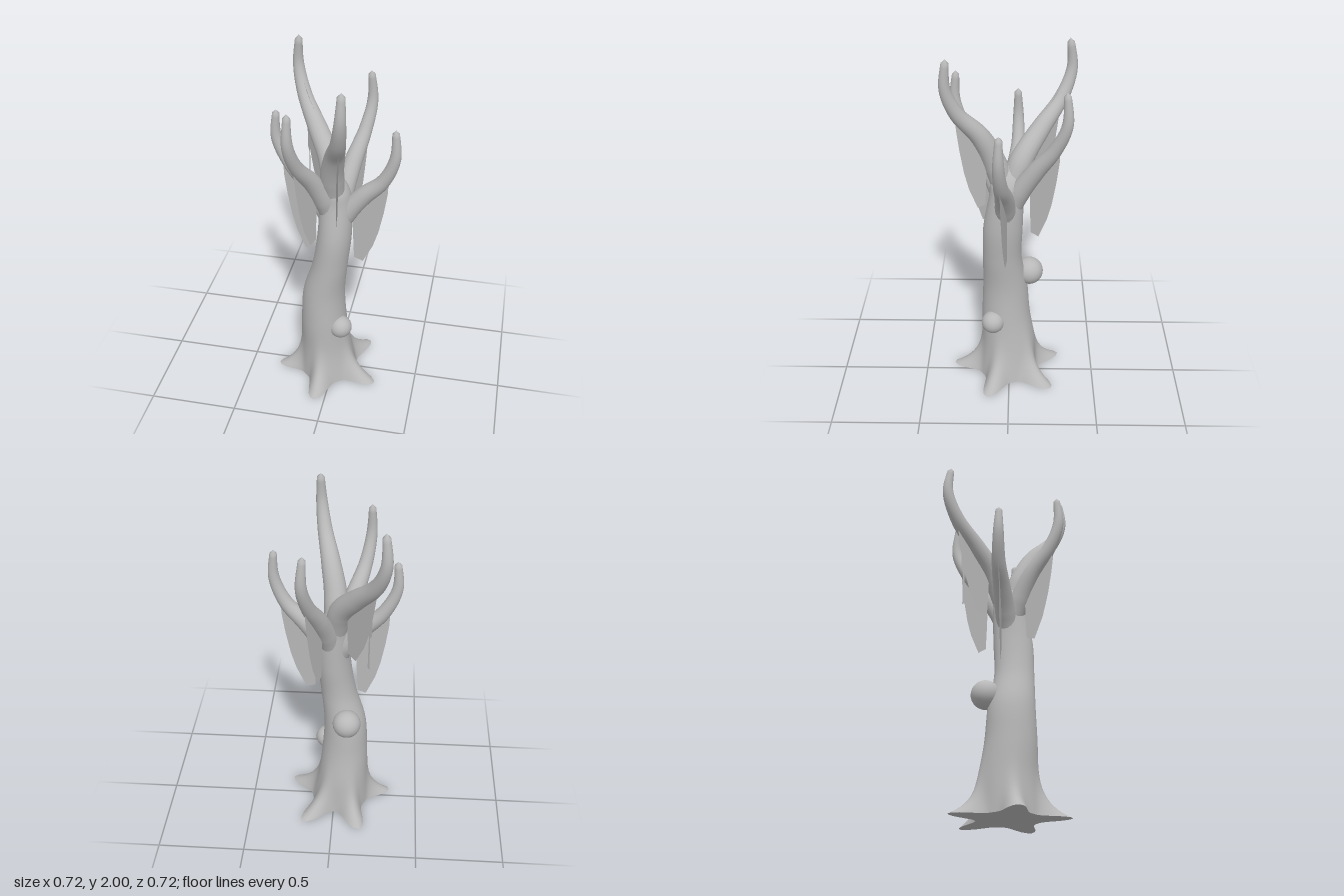
import * as THREE from 'three';
import { mergeVertices } from 'three/addons/utils/BufferGeometryUtils.js';

const grey = new THREE.MeshStandardMaterial({ color: 0xb8b8b8, side: THREE.DoubleSide });
grey.name = 'bark grey';

const V = (x, y, z) => new THREE.Vector3(x, y, z);

function part(group, name, geometry) {
  const mesh = new THREE.Mesh(geometry, grey);
  mesh.name = name;
  group.add(mesh);
  return mesh;
}

// Drop seams so that normals are smooth all round
function smooth(geometry) {
  geometry.deleteAttribute('uv');
  geometry.deleteAttribute('normal');
  const merged = mergeVertices(geometry, 1e-5);
  merged.computeVertexNormals();
  return merged;
}

function meshFrom(positions, index) {
  const g = new THREE.BufferGeometry();
  g.setAttribute('position', new THREE.Float32BufferAttribute(positions, 3));
  g.setIndex(index);
  g.computeVertexNormals();
  return g;
}

// Trunk sections: y, centre x, centre z, radius x, radius z
const sections = [
  [0, -0.035, 0.01, 0.17, 0.17], [0.2, -0.05, 0.005, 0.145, 0.155],
  [0.4, -0.06, 0.02, 0.132, 0.14], [0.6, -0.058, 0.025, 0.12, 0.128],
  [0.8, -0.02, 0.04, 0.1, 0.11], [1.0, 0.005, 0.035, 0.095, 0.11],
  [1.2, 0.008, 0.015, 0.088, 0.095], [1.3, 0, 0.01, 0.068, 0.085],
  [1.39, -0.01, 0.005, 0.002, 0.002],
];

// Root tips, as x and z offsets from the trunk centre
const roots = [[-0.3, 0.05], [0.3, 0.12], [-0.03, 0.325], [0.215, -0.26], [-0.13, -0.305]];

function rootFlare(angle, y) {
  let extra = 0;
  for (const [x, z] of roots) {
    const d = angle - Math.atan2(z, x);
    const turn = Math.atan2(Math.sin(d), Math.cos(d));
    extra += (Math.hypot(x, z) - 0.17) * Math.exp(-((turn / 0.26) ** 2));
  }
  return extra * Math.exp(-y / 0.075);
}

function buildTrunk(group) {
  const centre = new THREE.CatmullRomCurve3(sections.map(([y, x, z]) => V(x, y, z)), false, 'catmullrom', 0.5);
  const radius = new THREE.CatmullRomCurve3(sections.map((s) => V(s[3], s[0], s[4])), false, 'catmullrom', 0.5);
  const rows = 80, sides = 80, pos = [], index = [];
  for (let i = 0; i <= rows; i++) {
    const c = centre.getPoint(i / rows), r = radius.getPoint(i / rows);
    for (let j = 0; j < sides; j++) {
      const a = (j / sides) * Math.PI * 2, f = rootFlare(a, c.y);
      pos.push(c.x + Math.cos(a) * (r.x + f), c.y, c.z + Math.sin(a) * (r.z + f));
      if (i < rows) {
        const k = (j + 1) % sides, p = i * sides, q = p + sides;
        index.push(p + j, q + j, p + k, p + k, q + j, q + k);
      }
    }
  }
  part(group, 'trunk', meshFrom(pos, index));

  // Flat underside
  const cap = [...pos.slice(0, sides * 3), sections[0][1], 0, sections[0][2]], fan = [];
  for (let j = 0; j < sides; j++) fan.push(sides, j, (j + 1) % sides);
  part(group, 'trunkUnderside', meshFrom(cap, fan));
}

// Tapered tube through points, with radii spread evenly along it
function taperedTube(points, radii) {
  const curve = new THREE.CatmullRomCurve3(points), steps = 40, sides = 16;
  const g = new THREE.TubeGeometry(curve, steps, 1, sides, false);
  const p = g.attributes.position, v = V(0, 0, 0);
  for (let i = 0; i <= steps; i++) {
    const c = curve.getPointAt(i / steps);
    const t = (i / steps) * (radii.length - 1), k = Math.min(Math.floor(t), radii.length - 2);
    const r = i === steps ? 0.0005 : THREE.MathUtils.lerp(radii[k], radii[k + 1], t - k);
    for (let j = 0; j <= sides; j++) {
      const n = i * (sides + 1) + j;
      v.fromBufferAttribute(p, n).sub(c).multiplyScalar(r).add(c);
      p.setXYZ(n, v.x, v.y, v.z);
    }
  }
  return smooth(g);
}

// Vertical sheet standing on the line from inner to outer (x, z)
function sheet(outline, inner, outer, lift) {
  const g = new THREE.ShapeGeometry(new THREE.Shape(outline.map(([u, y]) => new THREE.Vector2(u, y))));
  const p = g.attributes.position;
  for (let i = 0; i < p.count; i++) {
    const u = p.getX(i);
    p.setXYZ(i, THREE.MathUtils.lerp(inner[0], outer[0], u), p.getY(i) + lift,
      THREE.MathUtils.lerp(inner[1], outer[1], u));
  }
  g.computeVertexNormals();
  return g;
}

const mossOutline = [[0, 1.19], [0.35, 1.29], [0.7, 1.36], [1, 1.44], [0.97, 1.3], [0.88, 1.18],
  [0.75, 1.05], [0.6, 0.95], [0.32, 0.83], [0.06, 0.845], [0.02, 1.0]];
const strandOutline = [[0.72, 1.36], [0.92, 1.4], [0.9, 1.22], [0.86, 1.2], [0.85, 1.06],
  [0.8, 1.04], [0.8, 0.84], [0.74, 0.85], [0.76, 1.05], [0.71, 1.12]];

// Branch paths from trunk to tip, and the ground line of the moss under each
const branches = [
  { name: 'backRightBranch', path: [[0, 1.2, 0], [-0.04, 1.4, -0.07], [-0.13, 1.54, -0.17], [-0.225, 1.68, -0.28], [-0.27, 1.83, -0.335], [-0.262, 2, -0.322]],
    moss: [[-0.07, -0.1], [-0.23, -0.28]], strand: true },
  { name: 'frontLeftBranch', path: [[0, 1.2, 0.02], [0, 1.4, 0.08], [0.03, 1.56, 0.155], [0.07, 1.7, 0.27], [0.09, 1.84, 0.325], [0.095, 2, 0.318]],
    moss: [[0.03, 0.12], [0.075, 0.28]] },
  { name: 'frontRightBranch', path: [[-0.01, 1.08, 0.02], [-0.05, 1.24, 0.07], [-0.1, 1.38, 0.135], [-0.155, 1.52, 0.235], [-0.182, 1.67, 0.293], [-0.182, 1.845, 0.287]],
    moss: [[-0.08, 0.1], [-0.165, 0.26]] },
  { name: 'backLeftBranch', path: [[0.01, 1.08, 0], [0.04, 1.24, -0.06], [0.075, 1.38, -0.145], [0.12, 1.52, -0.24], [0.147, 1.67, -0.3], [0.138, 1.845, -0.295]],
    moss: [[0.06, -0.11], [0.135, -0.27]] },
  { name: 'leftBranch', path: [[0.01, 1.0, 0.02], [0.07, 1.14, 0.02], [0.16, 1.26, 0.025], [0.265, 1.37, 0.04], [0.327, 1.52, 0.05], [0.325, 1.685, 0.048]],
    moss: [[0.1, 0.01], [0.3, 0.045]] },
  { name: 'rightBranch', path: [[0, 1.0, 0.02], [-0.06, 1.14, -0.005], [-0.15, 1.26, -0.025], [-0.26, 1.38, -0.045], [-0.33, 1.53, -0.047], [-0.327, 1.692, -0.044]],
    moss: [[-0.12, -0.03], [-0.3, -0.045]] },
];

export function createModel() {
  const tree = new THREE.Group();
  tree.name = 'deadTree';
  buildTrunk(tree);

  // Branches with hanging moss
  for (const { name, path, moss, strand } of branches) {
    const tall = path[5][1] > 1.9;
    const radii = tall ? [0.06, 0.066, 0.056, 0.043, 0.032, 0.019] : [0.05, 0.058, 0.05, 0.038, 0.03, 0.018];
    part(tree, name, taperedTube(path.map((p) => V(...p)), radii));
    const lift = path[5][1] - 1.69;
    part(tree, name + 'Moss', sheet(mossOutline, moss[0], moss[1], lift));
    if (strand) part(tree, name + 'MossStrand', sheet(strandOutline, moss[0], moss[1], lift));
  }

  // Rounded burls on the trunk
  for (const [name, r, x, y, z] of [['frontBurl', 0.066, 0.052, 0.385, 0.095], ['backBurl', 0.08, -0.075, 0.665, -0.115]]) {
    const burl = part(tree, name, new THREE.SphereGeometry(r, 24, 16));
    burl.position.set(x, y, z);
  }
  return tree;
}
